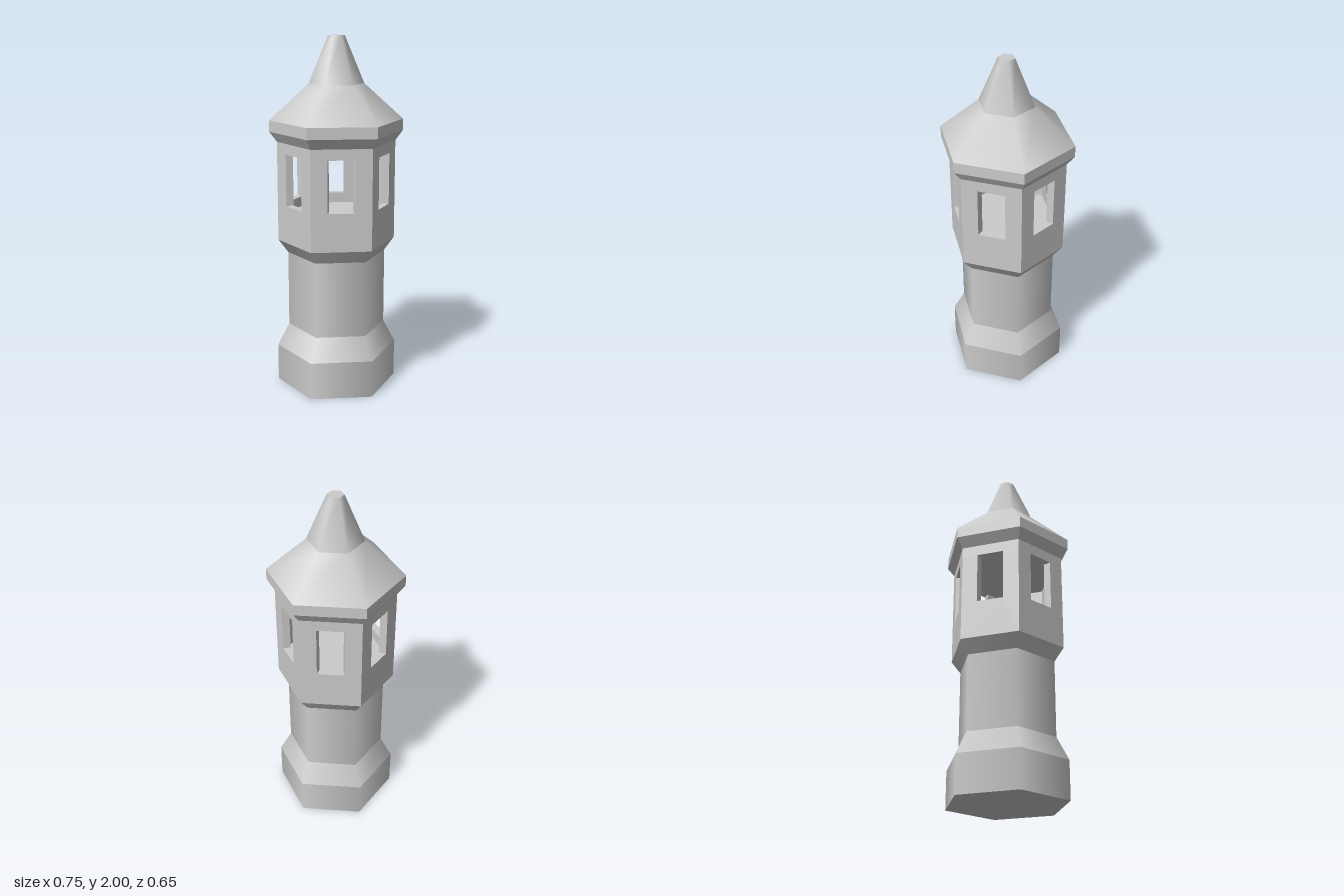
import * as THREE from 'three';

const WALL_R = 0.333, INNER = 0.86;   // lantern corner radius, inner/outer ratio
const FLOOR_Y = 1.01, WALL_Y0 = 0.855, WALL_Y1 = 1.36;

const smooth = new THREE.MeshStandardMaterial({ color: 0xcccccc });
const flat = new THREE.MeshStandardMaterial({ color: 0xcccccc, flatShading: true });

// Six-sided ring between two heights, corners on the x axis
function ring(parent, name, y0, r0, y1, r1, material) {
  const geo = new THREE.CylinderGeometry(r1, r0, y1 - y0, 6, 1, true, Math.PI / 2);
  const mesh = new THREE.Mesh(geo, material);
  mesh.position.y = (y0 + y1) / 2;
  mesh.name = name;
  parent.add(mesh);
}

// Flat hexagonal cap facing up or down
function cap(parent, name, y, r, up) {
  const mesh = new THREE.Mesh(new THREE.CircleGeometry(r, 6), flat);
  mesh.rotation.x = up ? -Math.PI / 2 : Math.PI / 2;
  mesh.position.y = y;
  mesh.name = name;
  parent.add(mesh);
}

// Wall panel with an open-topped window, mitred towards the centre
function panelGeometry() {
  const w = WALL_R / 2, h = 0.076, sill = 1.07;
  const shape = new THREE.Shape([
    [-w, WALL_Y0], [w, WALL_Y0], [w, WALL_Y1], [h, WALL_Y1],
    [h, sill], [-h, sill], [-h, WALL_Y1], [-w, WALL_Y1],
  ].map(([x, y]) => new THREE.Vector2(x, y)));
  const apothem = WALL_R * Math.cos(Math.PI / 6);
  const depth = apothem * (1 - INNER);
  const geo = new THREE.ExtrudeGeometry(shape, { depth, bevelEnabled: false });
  geo.translate(0, 0, apothem - depth);
  const p = geo.attributes.position;
  for (let i = 0; i < p.count; i++) p.setX(i, p.getX(i) * p.getZ(i) / apothem);
  geo.computeVertexNormals();
  return geo;
}

export function createModel() {
  const model = new THREE.Group();
  model.name = 'tower';

  // Base and shaft
  const body = new THREE.Group();
  body.name = 'body';
  cap(body, 'baseUnderside', 0, 0.345, false);
  ring(body, 'base', 0, 0.345, 0.215, 0.345, smooth);
  ring(body, 'baseSlope', 0.215, 0.345, 0.345, 0.278, smooth);
  ring(body, 'shaft', 0.345, 0.278, 0.78, 0.278, smooth);
  ring(body, 'flare', 0.78, 0.278, WALL_Y0, WALL_R, smooth);

  // Lantern room with six windows
  const lantern = new THREE.Group();
  lantern.name = 'lanternRoom';
  const panel = panelGeometry();
  for (let i = 0; i < 6; i++) {
    const wall = new THREE.Mesh(panel, flat);
    wall.rotation.y = i * Math.PI / 3;
    wall.name = 'windowWall';
    lantern.add(wall);
  }
  cap(lantern, 'floor', FLOOR_Y, WALL_R * INNER, true);

  // Roof with eave and spire
  const roof = new THREE.Group();
  roof.name = 'roof';
  cap(roof, 'ceiling', WALL_Y1, WALL_R, false);
  ring(roof, 'lintel', WALL_Y1, WALL_R, 1.42, WALL_R, flat);
  ring(roof, 'eaveSlope', 1.42, WALL_R, 1.477, 0.375, flat);
  ring(roof, 'eave', 1.477, 0.375, 1.54, 0.375, flat);
  ring(roof, 'lowerRoof', 1.54, 0.375, 1.74, 0.154, smooth);
  ring(roof, 'spire', 1.74, 0.154, 2, 0.045, smooth);
  cap(roof, 'spireTop', 2, 0.045, true);

  model.add(body, lantern, roof);
  return model;
}
